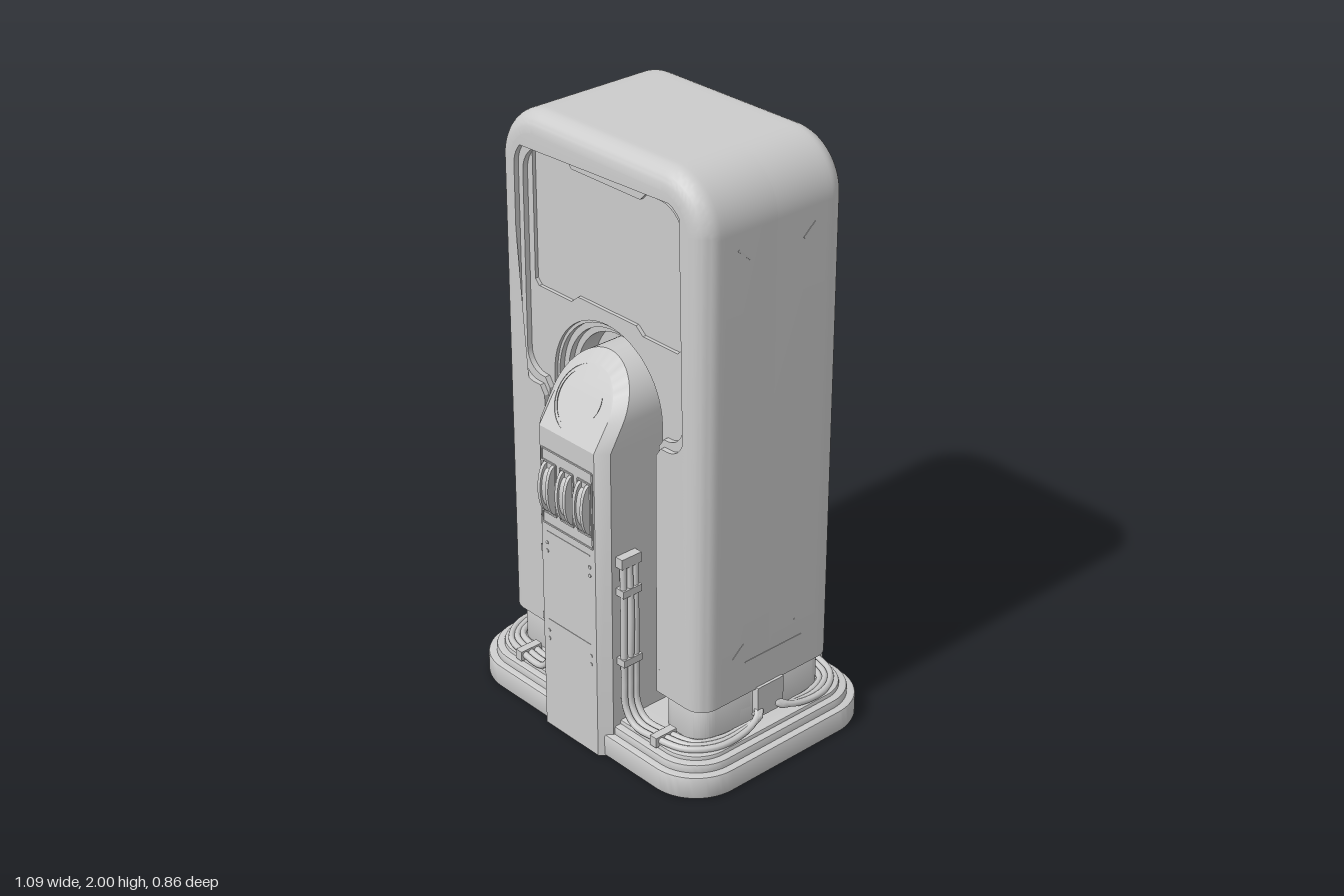
import * as THREE from 'three';
import { mergeGeometries, toCreasedNormals } from 'three/addons/utils/BufferGeometryUtils.js';

const grey = new THREE.MeshStandardMaterial({ color: 0xcccccc });
const PI = Math.PI;

function add(parent, name, geometry, x = 0, y = 0, z = 0) {
  const mesh = new THREE.Mesh(geometry, grey);
  mesh.name = name;
  mesh.position.set(x, y, z);
  parent.add(mesh);
  return mesh;
}
const box = (parent, name, w, h, d, x, y, z) => add(parent, name, new THREE.BoxGeometry(w, h, d), x, y, z);

// Stacks extruded layers [shape, z0, z1, steps] and rounds the outer edge of an arch-topped outline
function layered(layers, { w, top, r, depth, bevel, chamfer }, warp) {
  const geo = mergeGeometries(layers.map(([shape, z0, z1, steps]) =>
    new THREE.ExtrudeGeometry(shape, { depth: z1 - z0, steps, bevelEnabled: false, curveSegments: 14 }).translate(0, 0, z0)));
  const p = geo.attributes.position;
  for (let i = 0; i < p.count; i++) {
    let x = p.getX(i), y = p.getY(i), z = p.getZ(i);
    const t = Math.max(0, z - depth + bevel);
    const inset = chamfer ? t : bevel - Math.sqrt(Math.max(0, bevel * bevel - t * t));
    const ax = Math.abs(x) - (w - r), ay = y - (top - r);
    const len = ay <= 0 ? ax : ax <= 0 ? ay : Math.hypot(ax, ay);
    const push = Math.max(0, len - r + inset);
    if (push > 0) {
      if (ay <= 0 || ax > 0) x -= Math.sign(x) * push * (ay <= 0 ? 1 : ax / len);
      if (ay > 0) y -= push * (ax <= 0 ? 1 : ay / len);
    }
    if (warp) z = warp(y, z);
    p.setXYZ(i, x, y, z);
  }
  return toCreasedNormals(geo, 0.5);
}

// Flat slab with rounded corners in plan
function slab(x0, x1, z0, z1, r, y0, y1, bevel = 0.008) {
  const s = new THREE.Shape();
  const a = x0 + bevel, b = x1 - bevel, c = z0 + bevel, d = z1 - bevel;
  s.absarc(b - r, d - r, r, 0, PI / 2);
  s.absarc(a + r, d - r, r, PI / 2, PI);
  s.absarc(a + r, c + r, r, PI, 1.5 * PI);
  s.absarc(b - r, c + r, r, 1.5 * PI, 2 * PI);
  const g = new THREE.ExtrudeGeometry(s, {
    depth: y1 - y0 - 2 * bevel, bevelSize: bevel, bevelThickness: bevel, bevelSegments: 2, curveSegments: 10,
  });
  return toCreasedNormals(g.rotateX(PI / 2).translate(0, y1 - bevel, 0), 0.6);
}

const W = 0.455, TOP = 2, R = 0.18, FOOT = 0.25;

// Housing outline, with an optional notch rising from its foot
function housing(notch) {
  const s = new THREE.Shape();
  s.moveTo(-W, FOOT);
  s.lineTo(-W, TOP - R);
  s.absarc(-W + R, TOP - R, R, PI, PI / 2, true);
  s.absarc(W - R, TOP - R, R, PI / 2, 0, true);
  s.lineTo(W, FOOT);
  if (notch) notch(s);
  return s;
}
// Arched channel for the column
const channel = c => s => {
  s.lineTo(c, FOOT);
  s.absarc(0, 1.16, c, 0, PI);
  s.lineTo(-c, FOOT);
};
// Channel that opens into the wide display recess
const recess = (c, h, top, low) => s => {
  const k = 0.1, j = 0.07;
  s.lineTo(c, FOOT);
  s.lineTo(c, low - 0.03);
  s.lineTo(c + 0.02, low);
  s.absarc(h - j, low + j, j, -PI / 2, 0);
  s.absarc(h - k, top - k, k, 0, PI / 2);
  s.absarc(-h + k, top - k, k, PI / 2, PI);
  s.absarc(-h + j, low + j, j, PI, 1.5 * PI);
  s.lineTo(-c - 0.02, low);
  s.lineTo(-c, low - 0.03);
  s.lineTo(-c, FOOT);
};

function makeHousing(half) {
  const pane = new THREE.Path();
  const right = [[0.13, 1.45], [0.16, 1.425], [0.31, 1.425], [0.328, 1.443], [0.328, 1.862], [0.31, 1.88], [0.175, 1.88], [0.15, 1.855]];
  const left = right.map(([x, y]) => [-x, y]).reverse();
  pane.setFromPoints([...right, ...left].map(q => new THREE.Vector2(...q)));
  pane.closePath();
  const display = housing(channel(0.245));
  display.holes.push(pane);
  add(half, 'housing', layered([
    [housing(), 0, 0.13, 1],
    [housing(channel(0.195)), 0.13, 0.2, 1],
    [housing(channel(0.215)), 0.2, 0.22, 1],
    [housing(channel(0.235)), 0.22, 0.238, 2],
    [display, 0.238, 0.25, 1],
    [housing(recess(0.25, 0.352, 1.892, 1.135)), 0.25, 0.268, 2],
    [housing(recess(0.255, 0.372, 1.912, 1.112)), 0.268, 0.285, 5],
  ], { w: W, top: TOP, r: R, depth: 0.285, bevel: 0.065 }));
}

function makeColumn(half) {
  const w = 0.16, knee = 1.08, depth = 0.415, slope = 0.65;
  const post = new THREE.Shape([[-w, 0], [w, 0], [w, knee], [-w, knee]].map(q => new THREE.Vector2(...q)));
  const head = new THREE.Shape();
  head.moveTo(-w, knee);
  head.lineTo(w, knee);
  head.absarc(0, 1.16, w, 0, PI);
  const layers = [post, head].flatMap(s => [[s, 0, depth - 0.035, 1], [s, depth - 0.035, depth, 1]]);
  add(half, 'column', layered(layers, { w, top: 1.32, r: w, depth, bevel: 0.035, chamfer: true },
    (y, z) => z - Math.max(0, y - knee) * slope * z / depth));

  // Round button on the sloping head
  const button = new THREE.Group();
  button.name = 'roundButton';
  button.position.set(0, 1.188, depth - 0.108 * slope);
  button.rotation.x = -Math.atan(slope);
  half.add(button);
  const rings = [[0, -0.01], [0.062, 0.006], [0.07, 0.002], [0.076, 0.002], [0.082, 0.01], [0.096, 0.01], [0.1, 0.003], [0.112, 0.003], [0.115, -0.01]];
  rings.splice(0, 1, [0, 0.006]);
  const lathe = new THREE.LatheGeometry(rings.map(q => new THREE.Vector2(...q)), 40).rotateX(PI / 2);
  add(button, 'buttonRings', toCreasedNormals(lathe, 0.5));

  // Panel seams and bolts
  for (const y of [0.4, 0.72]) box(half, 'columnSeam', 0.2, 0.004, 0.003, 0, y, depth);
  for (const x of [-0.1, 0.1]) for (const y of [0.36, 0.68]) {
    for (const dy of [0, 0.03]) add(half, 'bolt', new THREE.CylinderGeometry(0.006, 0.006, 0.005, 10).rotateX(PI / 2), x, y - dy, depth);
  }
}

function makeCables(half, side) {
  const group = new THREE.Group();
  group.name = side > 0 ? 'leftCables' : 'rightCables';
  half.add(group);
  for (let k = 0; k < 3; k++) {
    const o = k * 0.024;
    const path = [
      [0.178, 0.7, 0.35 - o], [0.182 + 0.006 * (k % 2), 0.5, 0.352 - o], [0.18, 0.27, 0.35 - o], [0.186, 0.18, 0.35 - o],
      [0.225, 0.136, 0.35 - o], [0.32, 0.134, 0.345 - o], [0.42, 0.132, 0.315 - o], [0.478 - o * 0.5, 0.132, 0.235 - o],
      [0.484 - o * 0.5, 0.136, 0.13], [0.47, 0.155, 0.06 - o * 0.3], [0.435, 0.185, 0.025],
    ].map(([x, y, z]) => new THREE.Vector3(x * side, y, z));
    add(group, 'cable', new THREE.TubeGeometry(new THREE.CatmullRomCurve3(path), 60, 0.011, 8));
  }
  // Socket at the top, clips along the run
  box(group, 'cableSocket', 0.035, 0.035, 0.078, side * 0.172, 0.705, 0.325);
  for (const y of [0.6, 0.35]) box(group, 'cableClip', 0.04, 0.025, 0.075, side * 0.175, y, 0.326);
  box(group, 'baseClip', 0.028, 0.035, 0.085, side * 0.325, 0.132, 0.32);
}

function makeFins(parent) {
  const group = new THREE.Group();
  group.name = 'finPanel';
  group.position.set(0, 0.88, 0.415);
  parent.add(group);
  const disc = (r, w) => new THREE.CylinderGeometry(r, r, w, 32).rotateZ(PI / 2).scale(1, 1, 0.36);
  for (const x of [-0.08, 0, 0.08]) {
    for (const s of [-1, 1]) {
      add(group, 'finPlate', disc(0.084, 0.012), x + s * 0.018, 0, 0);
      box(group, 'slotEdge', 0.005, 0.18, 0.008, x + s * 0.029, 0, 0);
      box(group, 'slotEnd', 0.058, 0.005, 0.008, x, s * 0.09, 0);
    }
    add(group, 'finCore', disc(0.066, 0.026), x, 0, 0);
  }
  for (const s of [-1, 1]) box(group, 'panelSide', 0.005, 0.26, 0.006, s * 0.116, 0, 0);
  for (const y of [-0.13, 0.13]) box(group, 'panelEnd', 0.23, 0.005, 0.006, 0, y, 0);
}

export function createModel() {
  const model = new THREE.Group();
  model.name = 'terminal';
  const body = new THREE.Group();
  body.name = 'body';
  body.position.z = -0.015;
  model.add(body);

  // The front and back halves share one design
  for (const name of ['frontHalf', 'backHalf']) {
    const half = new THREE.Group();
    half.name = name;
    if (name === 'backHalf') half.rotation.y = PI;
    body.add(half);
    makeHousing(half);
    makeColumn(half);
    for (const side of [-1, 1]) {
      makeCables(half, side);
      const [x0, x1] = side > 0 ? [0.25, 0.44] : [-0.44, -0.25];
      add(half, 'foot', slab(x0, x1, 0, 0.262, 0.05, 0.1, 0.262));
      // Seams low on the housing face and marks on its sides
      box(half, 'faceSeam', 0.004, 0.07, 0.003, side * 0.27, 0.3, 0.285);
      for (const y of [0.42, 1.75]) {
        const mark = box(half, 'sideMark', 0.003, 0.006, 0.06, side * W, y, 0.13);
        mark.rotation.x = y > 1 ? -0.7 : 0.7;
      }
    }
  }
  makeFins(body);

  // Foot core and side connectors
  add(body, 'footCore', slab(-0.44, 0.44, -0.13, 0.13, 0.02, 0.1, 0.262));
  for (const side of [-1, 1]) {
    box(body, 'sideConnector', 0.035, 0.11, 0.11, side * 0.447, 0.2, -0.005);
    box(body, 'sideSeam', 0.003, 0.004, 0.24, side * W, 0.37, -0.02);
  }

  // Stepped base
  add(body, 'base', slab(-0.545, 0.545, -0.405, 0.4, 0.16, 0, 0.08));
  add(body, 'baseStep', slab(-0.52, 0.52, -0.38, 0.375, 0.14, 0.06, 0.108));
  add(body, 'baseTop', slab(-0.495, 0.495, -0.355, 0.35, 0.12, 0.09, 0.122, 0.006));
  return model;
}
